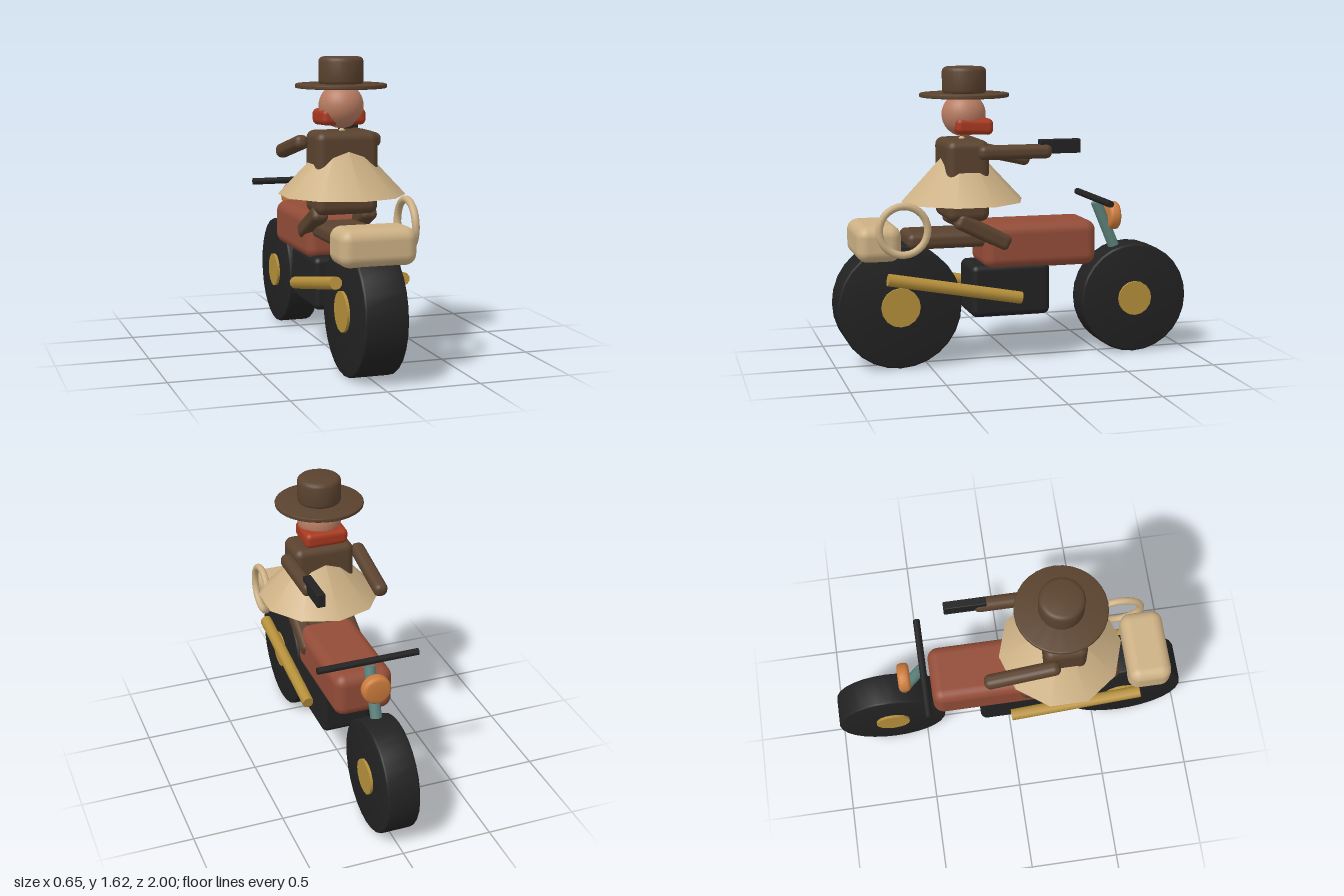
import * as THREE from 'three';
import { toCreasedNormals } from 'three/addons/utils/BufferGeometryUtils.js';
import { RoundedBoxGeometry } from 'three/addons/geometries/RoundedBoxGeometry.js';

const paint = (name, color) => {
  const m = new THREE.MeshStandardMaterial({ color });
  m.name = name;
  return m;
};

export function createModel() {
  const model = new THREE.Group();
  model.name = 'motorcycleRider';

  const brown = paint('brown leather', 0x5a422e);
  const tan = paint('tan cloth', 0xcdb185);
  const black = paint('black', 0x222222);
  const brass = paint('brass', 0xb58f3a);
  const rust = paint('rust red', 0x934c38);
  const scarfRed = paint('scarf red', 0xa8391f);
  const orange = paint('lamp orange', 0xcc7c3c);
  const teal = paint('teal', 0x5d827c);
  const skin = paint('skin', 0xb87c62);

  function add(name, geometry, material, x, y, z) {
    const mesh = new THREE.Mesh(geometry, material);
    mesh.name = name;
    mesh.position.set(x, y, z);
    model.add(mesh);
    return mesh;
  }

  const box = (w, h, d, r) => new RoundedBoxGeometry(w, h, d, 4, r);

  // Solid disc along y with bevelled rims
  function disc(radius, height, bevel, segments) {
    const h = height / 2;
    const pts = [[0, -h], [radius - bevel, -h]];
    for (const s of [-1, 1]) {
      for (let i = 0; i <= 3; i++) {
        const a = (s < 0 ? i - 3 : i) * Math.PI / 6;
        pts.push([radius - bevel + bevel * Math.cos(a), s * (h - bevel) + bevel * Math.sin(a)]);
      }
    }
    pts.push([0, h]);
    const profile = pts.map(([x, y]) => new THREE.Vector2(x, y));
    return toCreasedNormals(new THREE.LatheGeometry(profile, segments), 0.6);
  }

  // Cylinder or rounded bar running from one point to another
  function between(name, from, to, material, makeGeometry) {
    const a = new THREE.Vector3(...from), b = new THREE.Vector3(...to);
    const mid = a.clone().add(b).multiplyScalar(0.5);
    const mesh = add(name, makeGeometry(a.distanceTo(b)), material, mid.x, mid.y, mid.z);
    mesh.lookAt(b);
    return mesh;
  }
  const rod = (r, sides) => (len) => new THREE.CylinderGeometry(r, r, len, sides).rotateX(Math.PI / 2);
  const limb = (w, h, r) => (len) => box(w, h, len, r);

  // Wheels with brass hubs
  for (const [name, y, z, r, width, hubR, hubWidth] of [
    ['rear', 0.345, 0.66, 0.34, 0.23, 0.107, 0.26],
    ['front', 0.315, -0.69, 0.31, 0.18, 0.097, 0.21],
  ]) {
    add(name + 'Wheel', disc(r, width, 0.012, 28).rotateZ(Math.PI / 2), black, 0, y, z);
    add(name + 'Hub', new THREE.CylinderGeometry(hubR, hubR, hubWidth, 16).rotateZ(Math.PI / 2), brass, 0, y, z);
  }

  // Motorcycle body
  add('engine', box(0.29, 0.29, 0.445, 0.035), black, 0, 0.41, 0.047);
  add('fuelTank', box(0.33, 0.25, 0.645, 0.06), rust, 0, 0.655, -0.118);
  add('seat', box(0.27, 0.09, 0.46, 0.035), brown, 0, 0.7, 0.39);
  add('saddleBag', box(0.41, 0.195, 0.24, 0.06), tan, 0, 0.703, 0.782);
  add('ropeCoil', new THREE.TorusGeometry(0.13, 0.02, 10, 28).rotateY(Math.PI / 2), tan, 0.226, 0.78, 0.662);

  // Steering and lamp
  between('fork', [0, 0.862, -0.487], [0, 0.45, -0.66], teal, rod(0.032, 12));
  add('handlebar', new THREE.CylinderGeometry(0.019, 0.019, 0.57, 10).rotateZ(Math.PI / 2), black, 0, 0.885, -0.472);
  add('headlight', disc(0.08, 0.066, 0.02, 20).rotateX(Math.PI / 2), orange, 0, 0.78, -0.584);

  // Exhaust pipes and rider's thighs on both sides
  for (const [side, s] of [['left', 1], ['right', -1]]) {
    between(side + 'Exhaust', [s * 0.182, 0.513, 0.74], [s * 0.172, 0.372, 0], brass, rod(0.034, 10));
    between(side + 'Thigh', [s * 0.137, 0.815, 0.355], [s * 0.137, 0.668, 0.06], brown, limb(0.09, 0.09, 0.03));
  }

  // Rider's torso and ten-sided poncho
  add('torso', box(0.345, 0.44, 0.235, 0.045), brown, 0, 1.02, 0.29);
  add('poncho', new THREE.ConeGeometry(0.34, 0.36, 10), tan, 0, 1.08, 0.29);

  // Arms, one raised with a sidearm
  between('leftArm', [0.207, 1.178, 0.25], [0.207, 1.178, -0.157], brown, limb(0.076, 0.078, 0.033));
  between('rightArm', [-0.205, 1.182, 0.25], [-0.205, 1.09, -0.155], brown, limb(0.078, 0.078, 0.033));
  add('sidearm', box(0.045, 0.076, 0.23, 0.005), black, 0.203, 1.203, -0.203);

  // Head, scarf and hat
  add('head', new THREE.SphereGeometry(0.12, 28, 20), skin, 0, 1.37, 0.278);
  const scarf = add('scarf', box(0.244, 0.088, 0.208, 0.03), scarfRed, 0, 1.31, 0.242);
  scarf.rotation.x = -0.04;
  add('hatBrim', disc(0.244, 0.022, 0.007, 32), brown, 0, 1.475, 0.275);
  add('hatCrown', disc(0.12, 0.15, 0.025, 28), brown, 0, 1.553, 0.275);

  return model;
}
